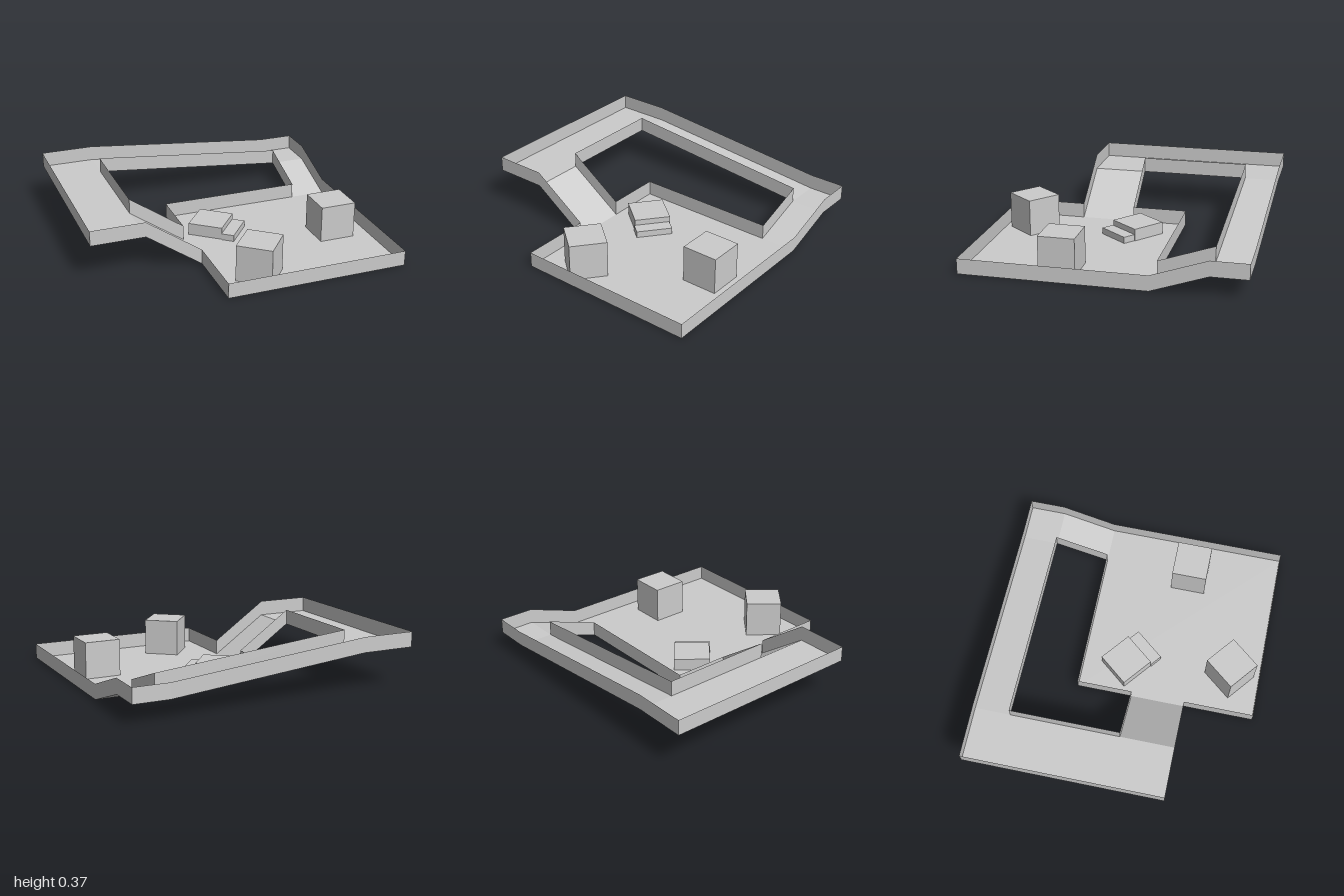
import * as THREE from 'three';

const HIGH = 0.265, MID = 0.13, RIM = 0.105;
const grey = new THREE.MeshStandardMaterial({ color: 0xcccccc, flatShading: true });
const sheet = new THREE.MeshStandardMaterial({ color: 0xcccccc, flatShading: true, side: THREE.DoubleSide });

// Mesh from four-cornered panels, corners counter-clockwise
function panels(name, quads) {
  const pos = quads.flatMap(([a, b, c, d]) => [a, b, c, a, c, d].flat());
  const geo = new THREE.BufferGeometry();
  geo.setAttribute('position', new THREE.Float32BufferAttribute(pos, 3));
  geo.computeVertexNormals();
  const mesh = new THREE.Mesh(geo, sheet);
  mesh.name = name;
  return mesh;
}

// Floor panel over a rectangle; y given at the four corners, starting back left
function floor(name, x0, x1, z0, z1, yBL, yFL, yFR, yBR) {
  return panels(name, [[[x0, yBL, z0], [x0, yFL, z1], [x1, yFR, z1], [x1, yBR, z0]]]);
}

// Thin upright rim following a closed path
function rim(name, path) {
  const up = ([x, y, z]) => [x, y + RIM, z];
  return panels(name, path.map((p, i) => {
    const q = path[(i + 1) % path.length];
    return [p, q, up(q), up(p)];
  }));
}

function block(name, w, h, d, x, z, turn = 0) {
  const mesh = new THREE.Mesh(new THREE.BoxGeometry(w, h, d), grey);
  mesh.position.set(x, h / 2, z);
  mesh.rotation.y = turn;
  mesh.name = name;
  return mesh;
}

export function createModel() {
  const model = new THREE.Group();
  model.name = 'rampCourse';

  // Floors and ramps
  model.add(
    floor('mainFloor', -0.25, 1, -0.315, 0.935, 0, 0, 0, 0),
    floor('steepRamp', -0.63, -0.25, 0.07, 0.445, HIGH, HIGH, 0, 0),
    floor('upperFloor', -1, -0.63, -0.935, 0.445, HIGH, HIGH, HIGH, HIGH),
    floor('longRamp', -0.63, 0.75, -0.935, -0.69, HIGH, HIGH, MID, MID),
    floor('cornerLanding', 0.75, 1, -0.935, -0.69, MID, MID, MID, MID),
    floor('shortRamp', 0.75, 1, -0.69, -0.315, MID, 0, 0, MID),
  );

  // Rims around the outside and around the opening
  model.add(
    rim('outerRim', [
      [-1, HIGH, -0.935], [-0.63, HIGH, -0.935], [0.75, MID, -0.935], [1, MID, -0.935],
      [1, MID, -0.69], [1, 0, -0.315], [1, 0, 0.935], [-0.25, 0, 0.935],
      [-0.25, 0, 0.445], [-0.63, HIGH, 0.445], [-1, HIGH, 0.445],
    ]),
    rim('innerRim', [
      [-0.63, HIGH, -0.69], [-0.63, HIGH, 0.07], [-0.25, 0, 0.07],
      [-0.25, 0, -0.315], [0.75, 0, -0.315], [0.75, MID, -0.69],
    ]),
  );

  // Crates and a low two-step stand
  const turn = -0.68;
  model.add(
    block('frontCrate', 0.245, 0.255, 0.25, 0.047, 0.722, turn),
    block('sideCrate', 0.25, 0.255, 0.245, 0.755, 0.31),
    block('upperStep', 0.245, 0.085, 0.25, -0.016, -0.015, turn),
    block('lowerStep', 0.09, 0.045, 0.25, 0.11, 0.095, turn),
  );
  return model;
}
